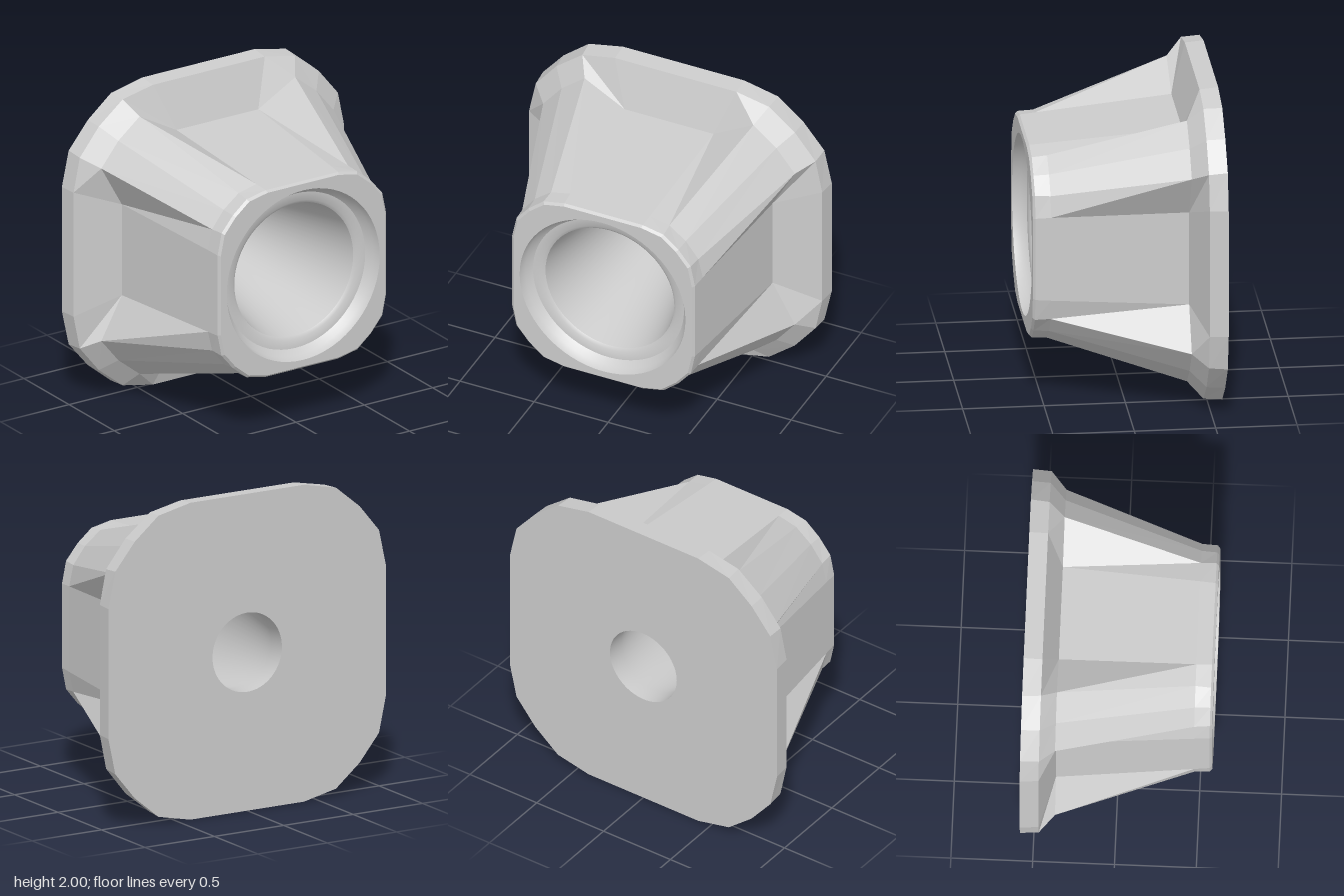
import * as THREE from 'three';
import { toCreasedNormals } from 'three/addons/utils/BufferGeometryUtils.js';

const BORE_FRONT = 0.56, BORE_BACK = 0.25;

// Rounded-square ring from its first eighth: side end, shoulder and corner middle
function ring(z, a, b, m) {
  const quarter = [a, b, [m, m], [b[1], b[0]], [a[1], a[0]]];
  const pts = [];
  for (let q = 0; q < 4; q++) {
    for (const [x, y] of quarter) {
      const [rx, ry] = [[x, y], [-y, x], [-x, -y], [y, -x]][q];
      pts.push(new THREE.Vector3(rx, ry, z));
    }
  }
  return pts;
}

// Skin between successive rings, back to front
function loft(rings) {
  const pos = [];
  for (let k = 0; k < rings.length - 1; k++) {
    const b = rings[k], f = rings[k + 1], n = b.length;
    for (let i = 0; i < n; i++) {
      const j = (i + 1) % n;
      for (const p of [b[i], b[j], f[i], f[i], b[j], f[j]]) pos.push(p.x, p.y, p.z);
    }
  }
  const g = new THREE.BufferGeometry();
  g.setAttribute('position', new THREE.Float32BufferAttribute(pos, 3));
  g.computeVertexNormals();
  return g;
}

// Flat end face with a round opening
function cap(outline, radius) {
  const shape = new THREE.Shape(outline.map(p => new THREE.Vector2(p.x, p.y)));
  const hole = new THREE.Path();
  hole.absarc(0, 0, radius, 0, Math.PI * 2, true);
  shape.holes.push(hole);
  return new THREE.ShapeGeometry(shape, 32);
}

export function createModel() {
  const group = new THREE.Group();
  const flat = new THREE.MeshStandardMaterial({ color: 0xcccccc, flatShading: true });
  const smooth = new THREE.MeshStandardMaterial({ color: 0xcccccc });
  const add = (name, geometry, material = flat) => {
    const mesh = new THREE.Mesh(geometry, material);
    mesh.name = name;
    mesh.position.y = 1;
    group.add(mesh);
    return mesh;
  };

  const plateBack = ring(-0.58, [1, 0.41], [0.95, 0.64], 0.81);
  const plateFront = ring(-0.465, [0.99, 0.41], [0.945, 0.63], 0.805);
  const bodyBack = ring(-0.37, [0.70, 0.30], [0.85, 0.57], 0.725);
  const bodyFront = ring(0.47, [0.625, 0.27], [0.595, 0.40], 0.51);
  const lip = ring(0.565, [0.617, 0.265], [0.588, 0.405], 0.505);
  const face = ring(0.58, [0.603, 0.26], [0.575, 0.395], 0.494);

  // Base plate and tapered body with corner ribs
  add('basePlate', loft([plateBack, plateFront]));
  add('ribbedBody', loft([plateFront, bodyBack, bodyFront]));
  add('frontLip', loft([bodyFront, lip, face]));

  // End faces
  add('frontFace', cap(face, BORE_FRONT)).position.z = 0.58;
  add('backFace', cap(plateBack, BORE_BACK).rotateY(Math.PI)).position.z = -0.58;

  // Stepped seat, funnel and straight through hole
  const profile = [
    [BORE_FRONT, 0.58], [0.545, 0.53], [0.51, 0.495], [0.455, 0.49],
    [0.435, 0.475], [BORE_BACK, -0.46], [BORE_BACK, -0.58],
  ].map(([r, z]) => new THREE.Vector2(r, z));
  const bore = new THREE.LatheGeometry(profile, 64).rotateX(Math.PI / 2);
  add('funnelBore', toCreasedNormals(bore, 0.6), smooth);

  return group;
}
